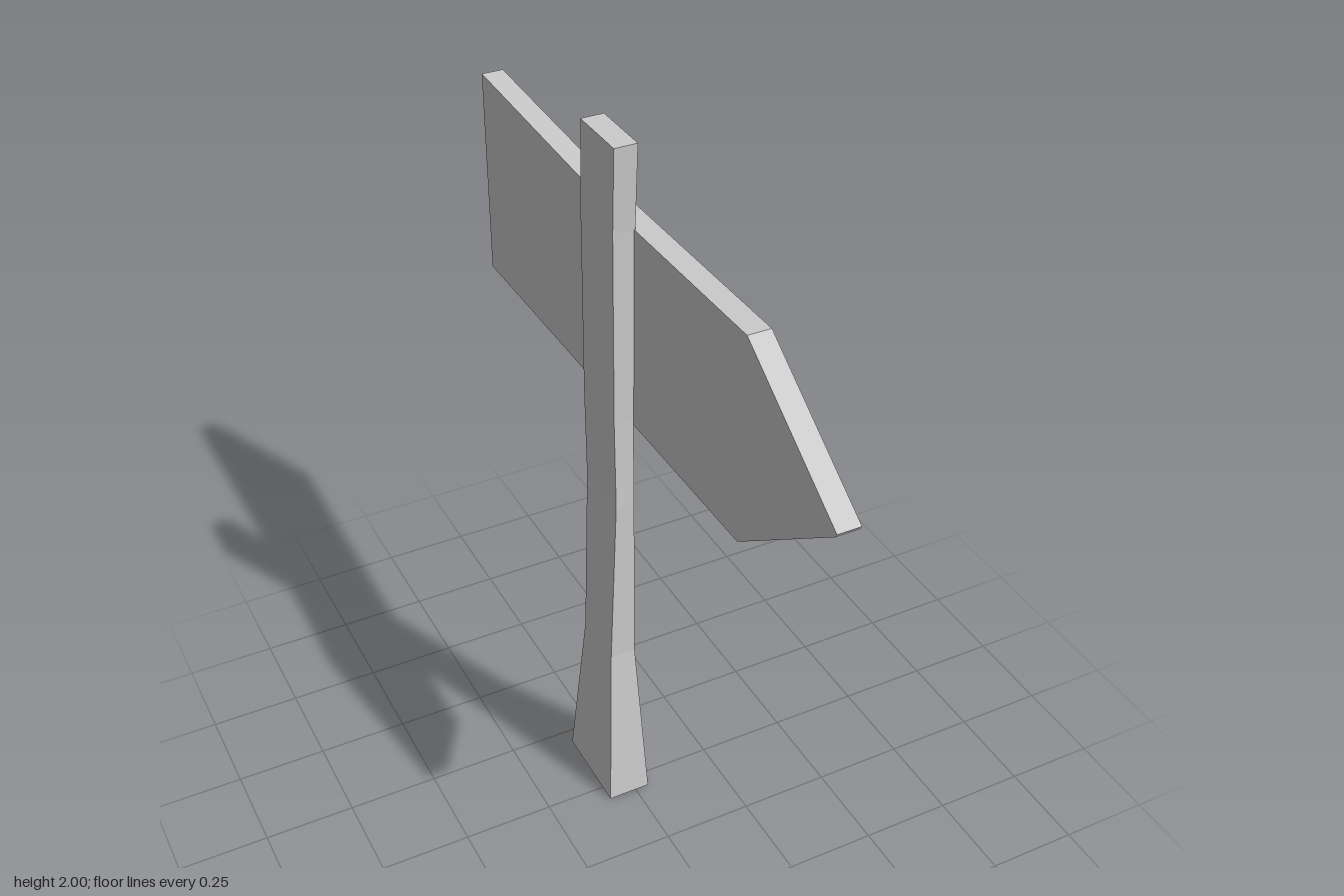
import * as THREE from 'three';

const material = new THREE.MeshStandardMaterial({ color: 0xcccccc, flatShading: true });

// Rough-hewn post: rectangular sections [y, xMin, xMax, zMin, zMax]
function createPost() {
  const sections = [
    [0, -0.08, 0.04, -0.205, 0.05],
    [0.5, -0.055, 0.016, -0.15, 0.01],
    [1.0, -0.034, 0.017, -0.167, 0.003],
    [1.25, -0.033, 0.02, -0.178, -0.008],
    [1.78, -0.034, 0.024, -0.178, -0.008],
    [2.0, -0.035, 0.025, -0.168, 0.002],
  ];
  const rows = sections.length - 1;
  const geometry = new THREE.BoxGeometry(1, 1, 1, 1, rows, 1);
  const p = geometry.attributes.position;
  for (let i = 0; i < p.count; i++) {
    const [y, x0, x1, z0, z1] = sections[Math.round((p.getY(i) + 0.5) * rows)];
    p.setXYZ(i, p.getX(i) < 0 ? x0 : x1, y, p.getZ(i) < 0 ? z0 : z1);
  }
  geometry.computeVertexNormals();
  const post = new THREE.Mesh(geometry, material);
  post.name = 'post';
  return post;
}

// Arrow-shaped board, outlined in (z, y) and extruded across x
function createBoard() {
  const outline = [
    [0.89, 1.52], [0.895, 1.53], [0.51, 1.787], [-0.2, 1.777],
    [-0.89, 1.807], [-0.885, 1.23], [0.51, 1.235],
  ].map(([z, y]) => new THREE.Vector2(z, y));
  const geometry = new THREE.ExtrudeGeometry(new THREE.Shape(outline), {
    depth: 0.06, bevelEnabled: false,
  });
  const board = new THREE.Mesh(geometry, material);
  board.name = 'arrowBoard';
  board.rotation.y = -Math.PI / 2;
  board.position.x = 0.081;
  return board;
}

export function createModel() {
  const model = new THREE.Group();
  model.name = 'signpost';
  model.add(createPost(), createBoard());
  return model;
}
